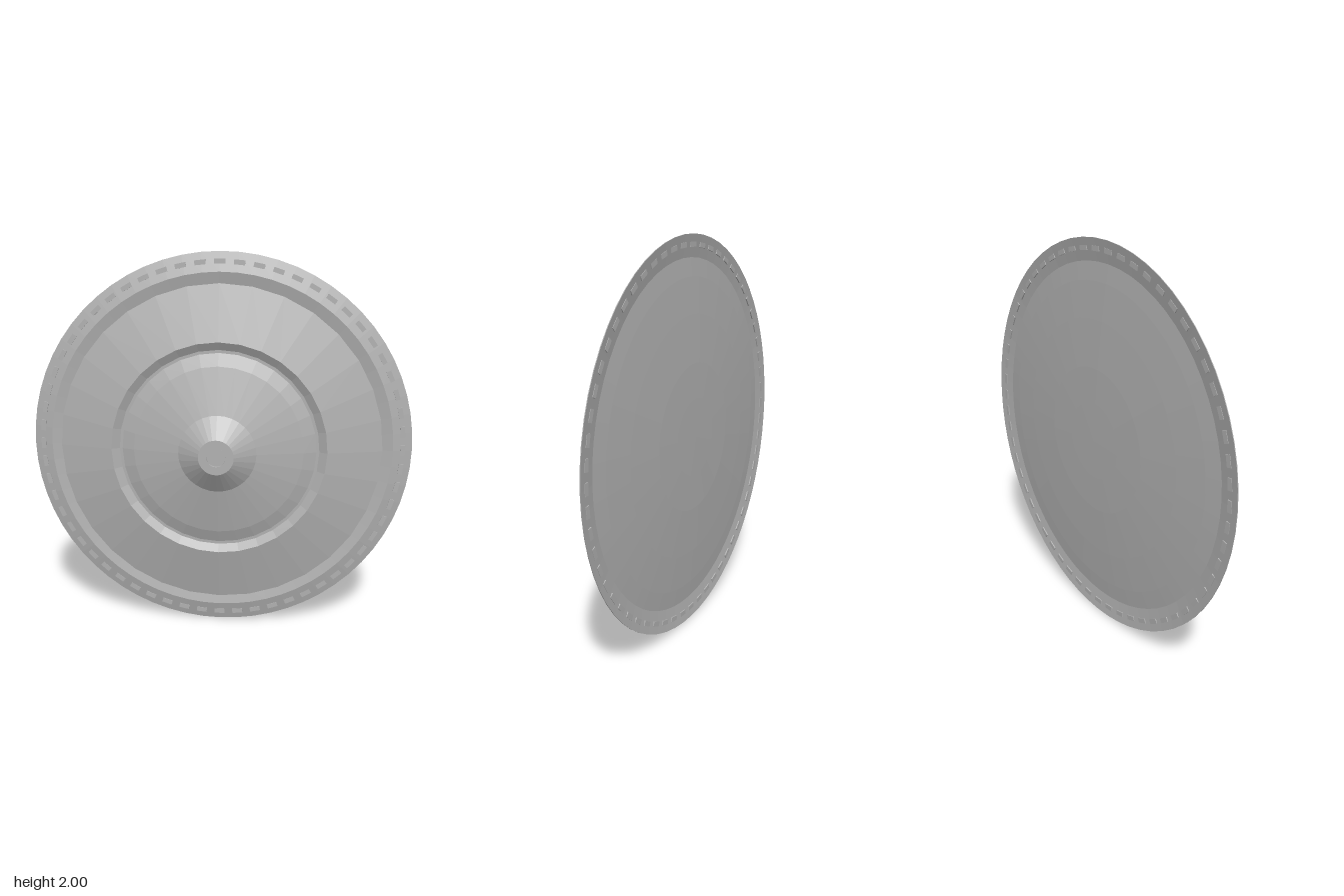
import * as THREE from 'three';

export function createModel() {
  const group = new THREE.Group();
  const grey = new THREE.MeshStandardMaterial({
    color: 0xb0b0b0, flatShading: true, side: THREE.DoubleSide,
  });
  grey.name = 'grey metal';

  // Turned part: profile of [radius, z], running from back to front
  function turned(name, profile, sides) {
    const geo = new THREE.LatheGeometry(profile.map(([r, z]) => new THREE.Vector2(r, z)), sides);
    geo.rotateX(Math.PI / 2);
    const mesh = new THREE.Mesh(geo, grey);
    mesh.name = name;
    mesh.position.y = 1;
    group.add(mesh);
  }

  // Thin rear plate: bulging back, flared rim, shallow basin in front
  turned('rearPlate', [
    [0, -0.132], [0.2, -0.131], [0.38, -0.128], [0.62, -0.117], [0.8, -0.106], [0.89, -0.098],
    [1, -0.116], [1, -0.112], [0.9, -0.085], [0.84, -0.098], [0, -0.1],
  ], 64);

  // Outer dish with a bevel falling into the groove
  turned('frontDish', [[0.845, -0.073], [0.56, -0.003], [0.52, -0.025], [0.5, -0.025]], 32);

  // Central dome, flaring up into the boss
  turned('centreDome', [
    [0.505, -0.025], [0.44, 0], [0.2, 0.055], [0.09, 0.13], [0.048, 0.13],
  ], 32);

  // Shallow hole in the tip of the boss
  turned('bossRecess', [[0, 0.115], [0.048, 0.115], [0.048, 0.13]], 24);

  // Ring of small studs passing through the rim
  const studs = new THREE.Group();
  studs.name = 'rimStuds';
  studs.position.set(0, 1, -0.102);
  const studGeo = new THREE.BoxGeometry(0.056, 0.024, 0.02);
  const count = 60;
  for (let i = 0; i < count; i++) {
    const a = (i / count) * Math.PI * 2;
    const stud = new THREE.Mesh(studGeo, grey);
    stud.name = 'rimStud';
    stud.position.set(Math.sin(a) * 0.95, Math.cos(a) * 0.95, 0);
    stud.rotation.z = -a;
    studs.add(stud);
  }
  group.add(studs);
  return group;
}
